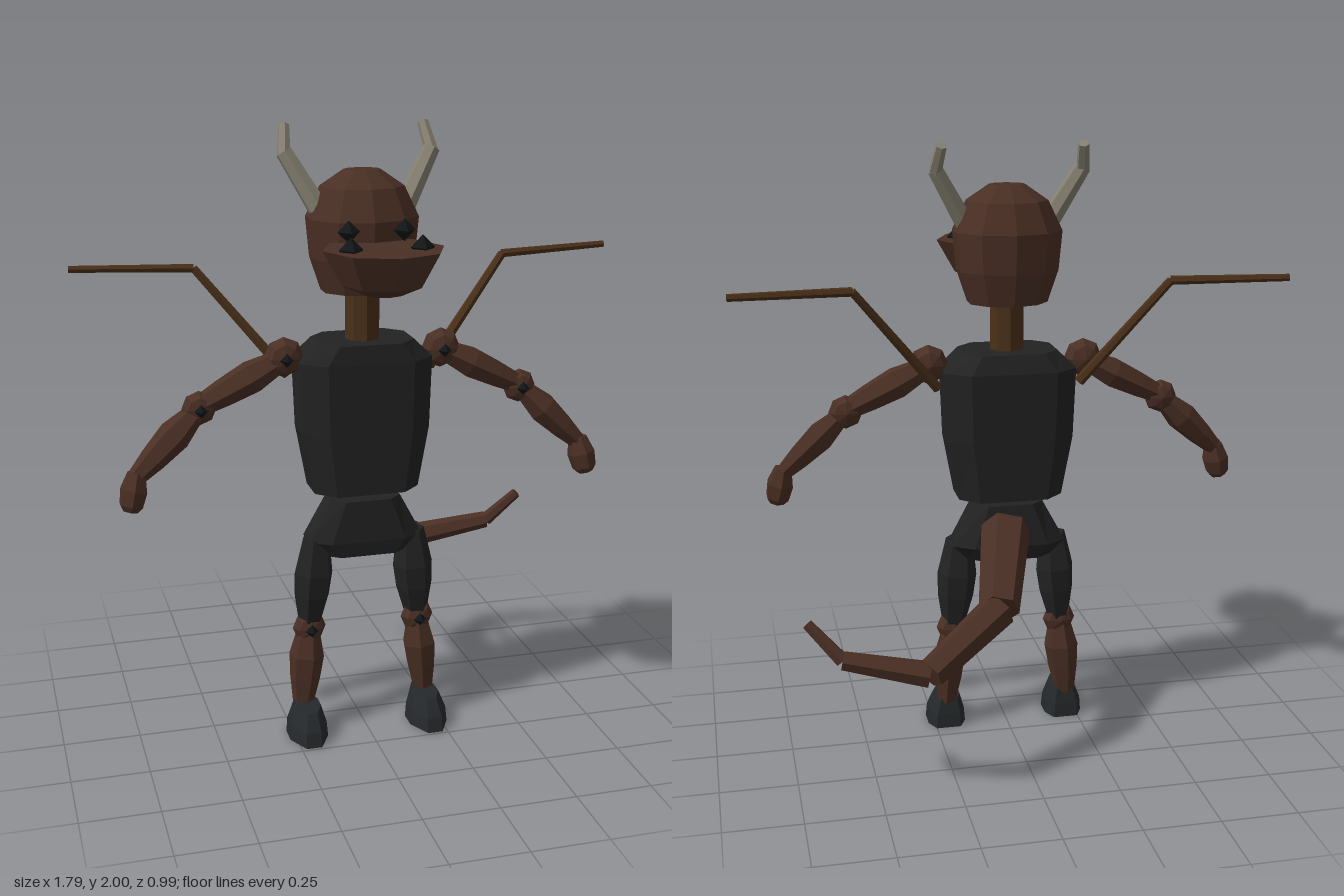
import * as THREE from 'three';

const material = (name, color) => {
  const m = new THREE.MeshStandardMaterial({ color, flatShading: true });
  m.name = name;
  return m;
};

export function createModel() {
  const hide = material('brown hide', 0x4a2f24);
  const neckBrown = material('neck brown', 0x4a3019);
  const cloth = material('black cloth', 0x222223);
  const boot = material('boot grey', 0x26292b);
  const gem = material('black gem', 0x121517);
  const horn = material('horn', 0x868171);

  const model = new THREE.Group();
  const add = (name, geometry, mat, parent = model) => {
    const mesh = new THREE.Mesh(geometry, mat);
    mesh.name = name;
    parent.add(mesh);
    return mesh;
  };

  // Faceted rod from a to b, with radii spread evenly or given as [t, radius]
  const rod = (name, a, b, radii, mat, parent, sides = 6) => {
    const from = new THREE.Vector3(...a), to = new THREE.Vector3(...b);
    const dir = to.clone().sub(from), length = dir.length();
    const profile = radii.map((r, i) => Array.isArray(r)
      ? new THREE.Vector2(r[1], r[0] * length)
      : new THREE.Vector2(r, length * i / (radii.length - 1)));
    const last = profile[profile.length - 1].y;
    const points = [new THREE.Vector2(0, profile[0].y), ...profile, new THREE.Vector2(0, last)];
    const mesh = add(name, new THREE.LatheGeometry(points, sides), mat, parent);
    mesh.position.copy(from);
    mesh.quaternion.setFromUnitVectors(new THREE.Vector3(0, 1, 0), dir.normalize());
    return mesh;
  };

  // Stack of eight-sided rings [y, centre x, half width, back z, front z, front taper]
  const loft = (rings) => {
    const pos = [], index = [];
    for (const [y, cx, w, back, front, taper = 0.65] of rings) {
      const c = (front - back) * 0.25, fc = (front - back) * (taper < 0.5 ? 0.4 : 0.25);
      const ring = [[w * taper, front], [w, front - fc], [w, back + c], [w * 0.65, back],
        [-w * 0.65, back], [-w, back + c], [-w, front - fc], [-w * taper, front]];
      for (const [x, z] of ring) pos.push(cx + x, y, z);
    }
    for (let r = 0; r < rings.length - 1; r++) {
      for (let i = 0; i < 8; i++) {
        const a = r * 8 + i, b = r * 8 + (i + 1) % 8;
        index.push(a, b, b + 8, a, b + 8, a + 8);
      }
    }
    const top = (rings.length - 1) * 8;
    for (let i = 1; i < 7; i++) {
      index.push(0, i + 1, i);
      index.push(top, top + i, top + i + 1);
    }
    const g = new THREE.BufferGeometry();
    g.setAttribute('position', new THREE.Float32BufferAttribute(pos, 3));
    g.setIndex(index);
    g.computeVertexNormals();
    return g;
  };

  const stud = (name, x, y, z, r, parent) =>
    add(name, new THREE.OctahedronGeometry(r), gem, parent).position.set(x, y, z);

  // Rounded joint facing forward with a dark stud
  const joint = (name, x, y, z, r, parent) => {
    const g = new THREE.SphereGeometry(r, 8, 4).rotateX(Math.PI / 2).scale(1, 1, 0.75);
    add(name, g, hide, parent).position.set(x, y, z);
    stud(name + 'Stud', x, y, z + r * 0.75, 0.022, parent);
  };

  // Torso and pelvis
  add('torso', loft([
    [0.84, 0, 0.172, -0.05, 0.18],
    [1.04, 0, 0.208, -0.06, 0.183],
    [1.27, 0, 0.216, -0.068, 0.183],
    [1.33, 0, 0.155, -0.05, 0.176],
  ]), cloth);
  add('pelvis', loft([
    [0.62, 0, 0.14, 0, 0.145],
    [0.67, 0, 0.19, -0.015, 0.153],
    [0.81, 0, 0.115, 0, 0.15],
  ]), cloth);

  // Neck and head
  rod('neck', [0, 1.31, 0.065], [0, 1.52, 0.065], [0.056, 0.056], neckBrown, model, 8);
  const skull = new THREE.LatheGeometry([
    [0, 1.485], [0.112, 1.485], [0.142, 1.59], [0.152, 1.715], [0.113, 1.81], [0.05, 1.86], [0, 1.86],
  ].map(p => new THREE.Vector2(...p)), 10).scale(1.18, 1, 1).translate(0, 0, 0.06);
  add('head', skull, hide);

  // Flat-topped snout
  const snout = new THREE.LatheGeometry([
    [0, 1.515], [0.06, 1.517], [0.128, 1.548], [0.188, 1.655], [0, 1.655],
  ].map(p => new THREE.Vector2(...p)), 8).translate(0, 0, 0.305);
  add('snout', snout, hide);

  for (const s of [-1, 1]) {
    const side = new THREE.Group();
    side.name = s > 0 ? 'leftSide' : 'rightSide';
    model.add(side);

    // Eyes and nostrils
    stud('eye', s * 0.087, 1.695, 0.228, 0.035, side);
    stud('nostril', s * 0.11, 1.66, 0.34, 0.038, side);

    // Bent horn
    rod('hornBase', [s * 0.14, 1.745, 0.06], [s * 0.237, 1.915, 0.02], [0.034, 0.027], horn, side);
    rod('hornTip', [s * 0.237, 1.9, 0.022], [s * 0.224, 1.99, -0.034], [0.022, 0.018], horn, side);

    // Arm
    joint('shoulder', s * 0.258, 1.285, 0.075, 0.065, side);
    rod('upperArm', [s * 0.27, 1.275, 0.075], [s * 0.53, 1.145, 0.078],
      [0.036, [0.35, 0.053], [0.7, 0.045], [1, 0.034]].map((r, i) => i ? r : [0, r]), hide, side);
    joint('elbow', s * 0.53, 1.14, 0.078, 0.056, side);
    rod('forearm', [s * 0.54, 1.13, 0.08], [s * 0.742, 0.935, 0.105],
      [[0, 0.032], [0.35, 0.052], [0.7, 0.042], [1, 0.028]], hide, side);
    rod('hand', [s * 0.735, 0.955, 0.105], [s * 0.762, 0.835, 0.12],
      [[0, 0.03], [0.45, 0.046], [0.85, 0.04], [1, 0.025]], hide, side);

    // Bare wing spar
    const root = [s * 0.235, 1.215, 0.03], bend = [s * 0.512, 1.555, -0.06], tip = [s * 0.893, 1.56, -0.115];
    rod('wingSparInner', root, bend, [0.018, 0.014], neckBrown, side);
    rod('wingSparOuter', bend, tip, [0.015, 0.012], neckBrown, side);

    // Leg
    rod('thigh', [s * 0.16, 0.68, 0.085], [s * 0.184, 0.37, 0.08],
      [[0, 0.045], [0.4, 0.066], [0.65, 0.06], [1, 0.036]], cloth, side);
    joint('knee', s * 0.186, 0.365, 0.083, 0.056, side);
    rod('shin', [s * 0.188, 0.36, 0.083], [s * 0.21, 0.09, 0.085],
      [[0, 0.036], [0.35, 0.058], [0.65, 0.05], [1, 0.034]], hide, side);
    add('foot', loft([
      [0, s * 0.208, 0.064, 0.052, 0.24, 0.4],
      [0.05, s * 0.208, 0.06, 0.052, 0.232, 0.4],
      [0.105, s * 0.205, 0.042, 0.06, 0.2, 0.4],
    ]), boot, side);
  }

  // Tail curling to the left
  const bends = [[0.02, 0.735, -0.01], [0.1, 0.565, -0.29], [0.35, 0.44, -0.46],
    [0.61, 0.49, -0.415], [0.71, 0.6, -0.37]];
  const widths = [[0.082, 0.066], [0.06, 0.048], [0.042, 0.03], [0.024, 0.018]];
  widths.forEach((w, i) => rod('tailSegment' + (i + 1), bends[i], bends[i + 1], w, hide, model));

  return model;
}
